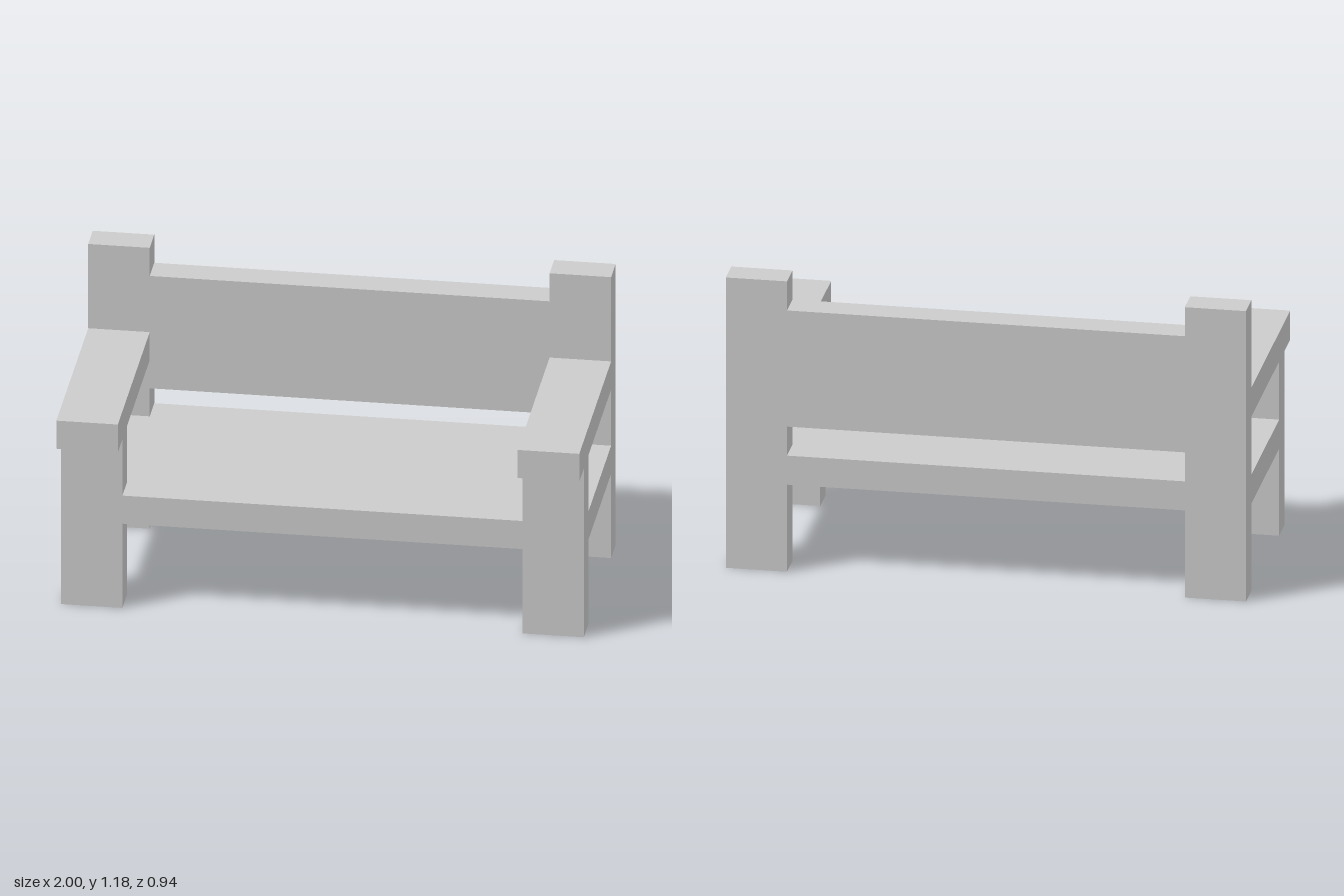
import * as THREE from 'three';

// The bench is laid out on a grid of 17 modules across its width.
const U = 2 / 17;

export function createModel() {
  const bench = new THREE.Group();
  bench.name = 'bench';
  const material = new THREE.MeshStandardMaterial({ color: 0xcccccc, flatShading: true });

  const add = (name, geometry) => {
    const mesh = new THREE.Mesh(geometry, material);
    mesh.name = name;
    bench.add(mesh);
    return mesh;
  };

  // Box from its low and high corners, in modules
  const block = (name, [x0, y0, z0], [x1, y1, z1]) => {
    const mesh = add(name, new THREE.BoxGeometry((x1 - x0) * U, (y1 - y0) * U, (z1 - z0) * U));
    mesh.position.set((x0 + x1) / 2, (y0 + y1) / 2, (z0 + z1) / 2).multiplyScalar(U);
  };

  // Seat slab, notched at the corners around the legs (shape y becomes -z)
  const outline = [
    [-6.5, -3], [6.5, -3], [6.5, -2], [8.5, -2], [8.5, 3], [6.5, 3],
    [6.5, 4], [-6.5, 4], [-6.5, 3], [-8.5, 3], [-8.5, -2], [-6.5, -2],
  ].map(([x, y]) => new THREE.Vector2(x * U, y * U));
  const seat = new THREE.ExtrudeGeometry(new THREE.Shape(outline), { depth: U, bevelEnabled: false });
  seat.rotateX(-Math.PI / 2).translate(0, 3 * U, 0);
  add('seat', seat);

  // Backrest board between the rear posts
  block('backrest', [-6.5, 5, -4], [6.5, 9, -3]);

  // Legs and armrest on each side
  for (const [side, x] of [['left', 6.5], ['right', -8.5]]) {
    block(side + 'RearPost', [x, 0, -4], [x + 2, 10, -3]);
    block(side + 'FrontLeg', [x, 0, 2], [x + 2, 6, 3]);
    block(side + 'Armrest', [x, 6, -3], [x + 2, 7, 4]);
  }

  return bench;
}
